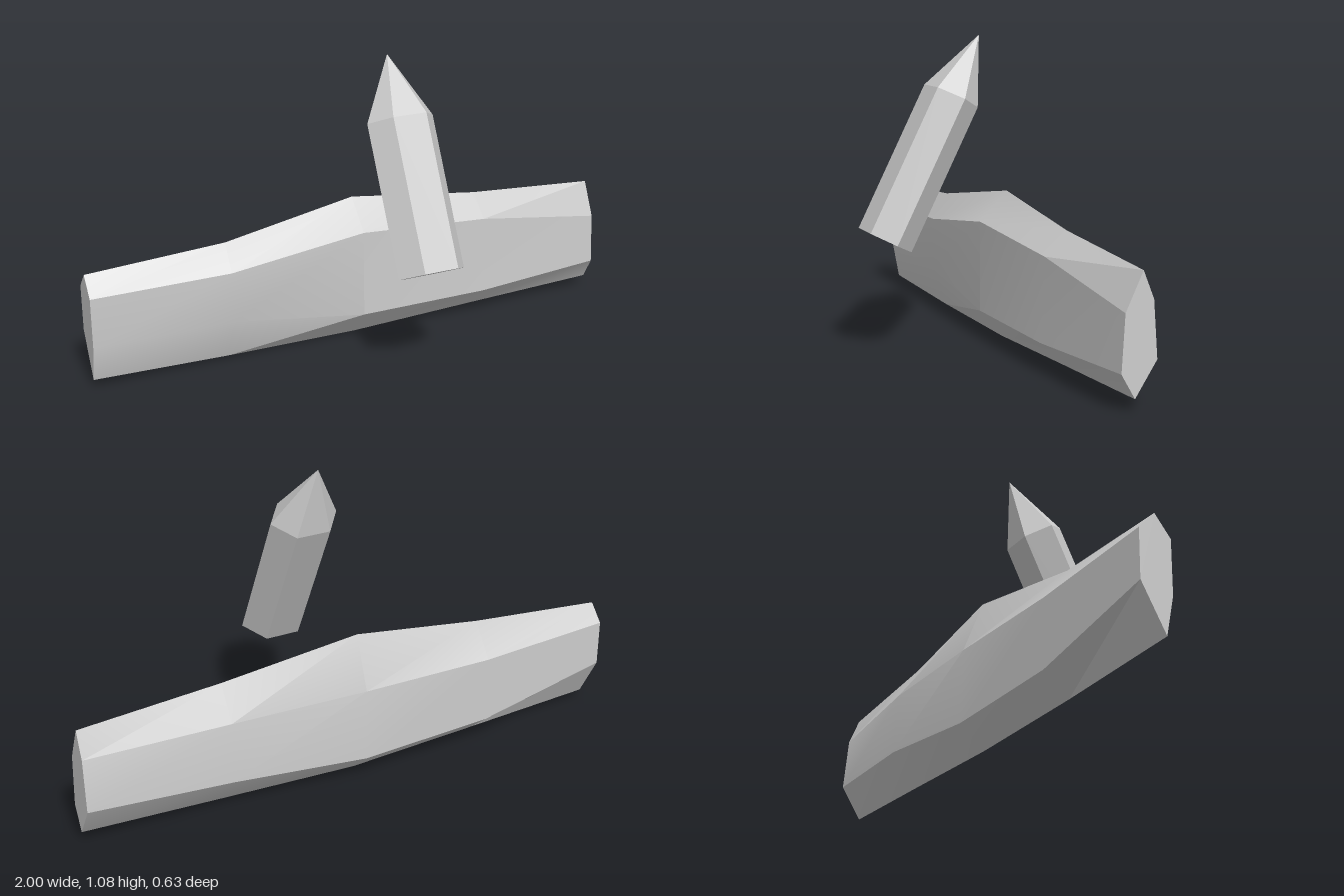
import * as THREE from 'three';
import { toCreasedNormals } from 'three/addons/utils/BufferGeometryUtils.js';

// Hexagonal sections along x, each as [z, y] pairs:
// top ridge, front upper, front lower, bottom ridge, back lower, back upper
const SECTIONS = [
  { x: -1.0, ring: [[-0.23, 0.41], [-0.175, 0.34], [-0.175, 0.16], [-0.2, 0.03], [-0.285, 0.185], [-0.285, 0.35]] },
  { x: -0.5, ring: [[-0.213, 0.445], [-0.155, 0.35], [-0.155, 0.165], [-0.21, 0.012], [-0.3, 0.09], [-0.3, 0.33]] },
  { x: 0.0, ring: [[-0.24, 0.525], [-0.138, 0.42], [-0.138, 0.1], [-0.225, 0.0], [-0.315, 0.08], [-0.31, 0.34]] },
  { x: 0.5, ring: [[-0.23, 0.465], [-0.15, 0.385], [-0.138, 0.1], [-0.22, 0.02], [-0.315, 0.135], [-0.305, 0.35]] },
  { x: 1.0, ring: [[-0.233, 0.43], [-0.175, 0.305], [-0.165, 0.12], [-0.212, 0.04], [-0.285, 0.155], [-0.27, 0.34]] },
];

// Joins the sections with quads and closes both ends
function loftSections(sections) {
  const n = sections[0].ring.length;
  const last = (sections.length - 1) * n;
  const positions = [];
  const index = [];
  for (const { x, ring } of sections) {
    for (const [z, y] of ring) positions.push(x, y, z);
  }
  for (let s = 0; s < last; s += n) {
    for (let i = 0; i < n; i++) {
      const j = (i + 1) % n;
      const a = s + i, b = s + j, c = s + n + j, d = s + n + i;
      index.push(a, b, d, b, c, d);
    }
  }
  for (let i = 1; i < n - 1; i++) {
    index.push(0, i + 1, i);
    index.push(last, last + i, last + i + 1);
  }
  const geometry = new THREE.BufferGeometry();
  geometry.setAttribute('position', new THREE.Float32BufferAttribute(positions, 3));
  geometry.setIndex(index);
  return toCreasedNormals(geometry, 0.35);
}

// Six-sided shaft with a pointed tip, slightly flattened front to back
function spikeGeometry() {
  const profile = [[0, 0], [0.125, 0], [0.125, 0.538], [0, 0.767]].map(([r, y]) => new THREE.Vector2(r, y));
  const geometry = new THREE.LatheGeometry(profile, 6, Math.PI / 2);
  geometry.scale(1, 1, 0.748);
  return toCreasedNormals(geometry, 0.2);
}

export function createModel() {
  const model = new THREE.Group();
  const stone = new THREE.MeshStandardMaterial({ color: 0xcccccc });
  stone.name = 'light grey';

  // Long faceted bar lying across the back
  const bar = new THREE.Mesh(loftSections(SECTIONS), stone);
  bar.name = 'crossBar';
  model.add(bar);

  // Separate spike leaning backwards in front of the bar
  const spike = new THREE.Mesh(spikeGeometry(), stone);
  spike.name = 'spike';
  spike.position.set(0.072, 0.393, 0.243);
  spike.rotation.x = -Math.atan2(0.24, 0.48);
  model.add(spike);

  return model;
}
